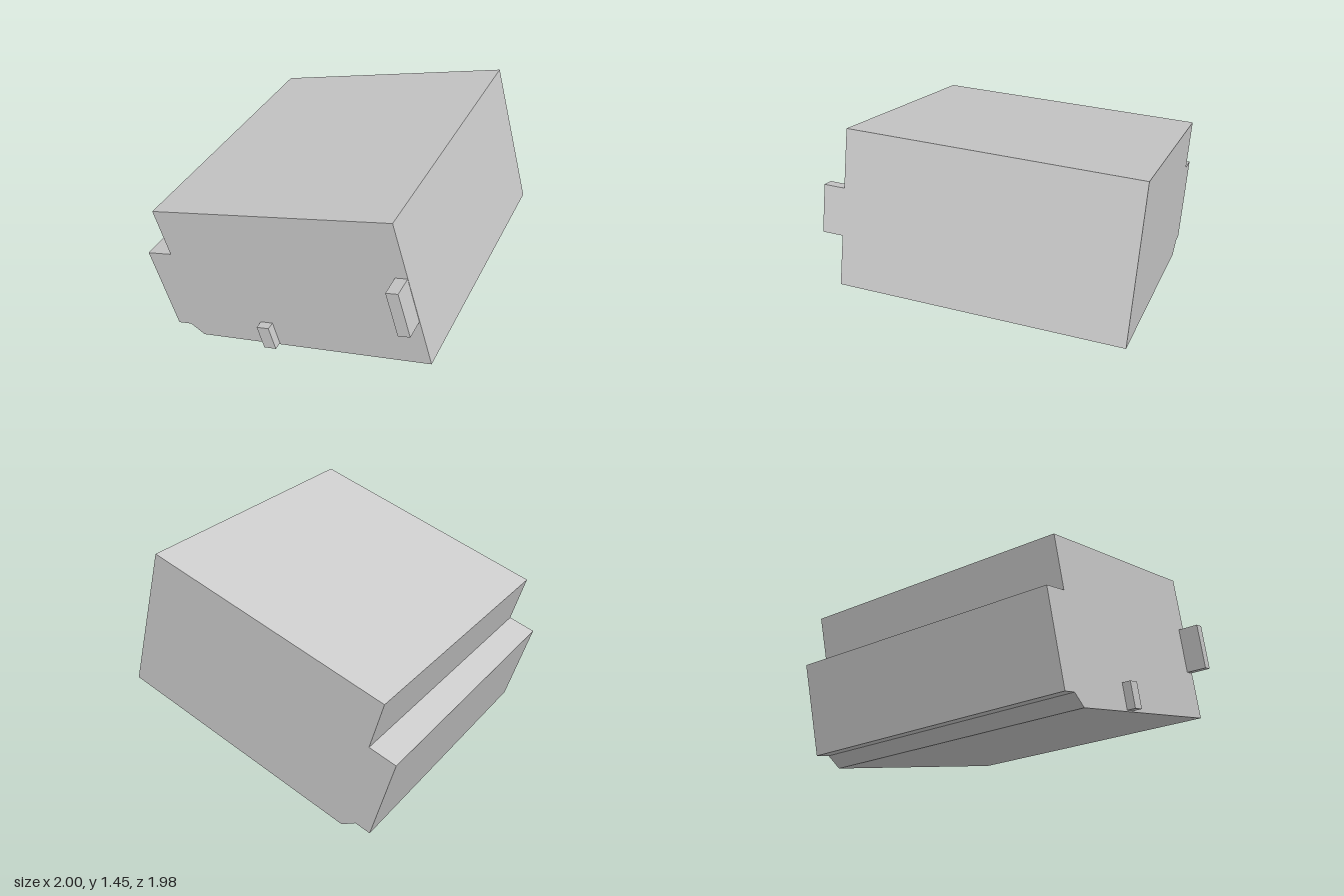
import * as THREE from 'three';

const material = new THREE.MeshStandardMaterial({ color: 0xcccccc, flatShading: true });

// Straight-sided prism from a front outline, running from zBack to zFront
function prism(name, outline, zBack, zFront) {
  const shape = new THREE.Shape(outline.map(([x, y]) => new THREE.Vector2(x, y)));
  const geometry = new THREE.ExtrudeGeometry(shape, { depth: zFront - zBack, bevelEnabled: false });
  geometry.translate(0, 0, zBack);
  const mesh = new THREE.Mesh(geometry, material);
  mesh.name = name;
  return mesh;
}

export function createModel() {
  const group = new THREE.Group();
  group.name = 'tiltedBlock';
  const back = -0.99, face = 0.853;

  // Tilted block with a stepped upper edge and a notched lower corner
  group.add(prism('body', [
    [-0.915, 0.977], [-0.82, 0.655], [-1, 0.602], [-0.833, 0.033],
    [-0.733, 0.062], [-0.632, 0.005], [1, 0.481], [0.713, 1.452],
  ], back, face));

  // Tab flush with the side
  group.add(prism('sideTab', [
    [0.742, 1.068], [0.829, 0.769], [0.905, 0.792], [0.818, 1.09],
  ], face, 0.99));

  // Small tab near the lower edge
  group.add(prism('lowerTab', [
    [-0.17, 0.325], [-0.122, 0.162], [-0.036, 0.187], [-0.083, 0.35],
  ], face, 0.908));

  return group;
}
